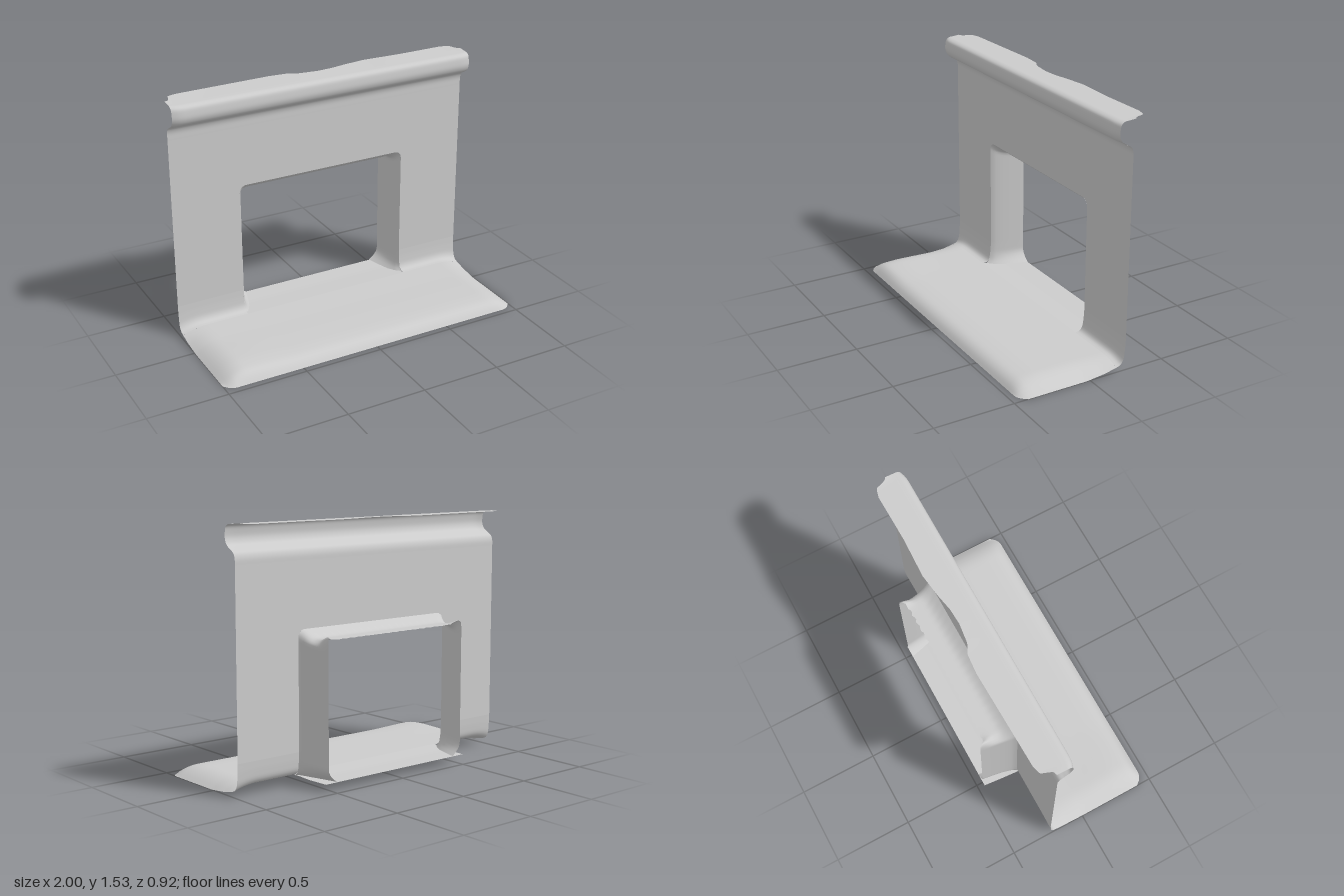
import * as THREE from 'three';
import { ParametricGeometry } from 'three/addons/geometries/ParametricGeometry.js';

const material = new THREE.MeshStandardMaterial({ color: 0xcccccc, side: THREE.DoubleSide, roughness: 0.9 });
const { lerp, clamp, smoothstep } = THREE.MathUtils;

// Opening outline: outer at the wall face, inner at the back of the reveal
const OUTER = { l: -0.562, r: 0.57, top: 0.91, rad: 0.05 };
const INNER = { l: -0.51, r: 0.53, top: 0.862, rad: 0.04 };
const FLOOR = 0.052, FILLET_TOP = 0.2;

// Piecewise linear lookup in [[x, y], ...]
function lookup(table, x) {
  for (let i = 1; i < table.length; i++) {
    const [x0, y0] = table[i - 1], [x1, y1] = table[i];
    if (x <= x1) return lerp(y0, y1, clamp((x - x0) / (x1 - x0), 0, 1));
  }
  return table[table.length - 1][1];
}

// Smooth sheet from a rule (u, v) -> [x, y, z]
function sheet(name, nu, nv, rule) {
  const geometry = new ParametricGeometry((u, v, p) => p.set(...rule(u, v)), nu, nv);
  geometry.computeVertexNormals();
  const mesh = new THREE.Mesh(geometry, material);
  mesh.name = name;
  return mesh;
}

// Smooth curve through [z, y] points
const profile = (pts) => new THREE.CatmullRomCurve3(pts.map(([z, y]) => new THREE.Vector3(0, y, z)), false, 'centripetal');

function traceOpening(path, { l, r, top, rad }, bottom) {
  path.lineTo(l, bottom);
  path.lineTo(l, top - rad);
  path.quadraticCurveTo(l, top, l + rad, top);
  path.lineTo(r - rad, top);
  path.quadraticCurveTo(r, top, r, top - rad);
  path.lineTo(r, bottom);
}

function openingPoints(o, n) {
  const path = new THREE.Path();
  path.moveTo(o.l, FLOOR);
  traceOpening(path, o, FLOOR);
  return path.getSpacedPoints(n);
}

// Depth of the wall face, swept forward at its foot
const wallZ = (y) => lookup([[0.052, -0.2], [0.065, -0.215], [0.09, -0.228], [0.14, -0.236], [FILLET_TOP, -0.24]], y);

// How far the sheet sags towards its two short ends
const endSag = (x) => Math.pow(clamp((Math.abs(x) - 0.84) / 0.16, 0, 1), 2.2);

export function createModel() {
  const group = new THREE.Group();
  group.name = 'fireplaceSurround';

  // Flat wall face with the opening notched out
  const wallShape = new THREE.Shape();
  wallShape.moveTo(-1, FILLET_TOP);
  traceOpening(wallShape, OUTER, FILLET_TOP);
  wallShape.lineTo(1, FILLET_TOP);
  wallShape.lineTo(1, 1.29);
  wallShape.lineTo(-1, 1.29);
  const wall = new THREE.Mesh(new THREE.ShapeGeometry(wallShape, 10), material);
  wall.position.z = -0.24;
  wall.name = 'wallFace';
  group.add(wall);

  // Curved feet of the wall, either side of the opening
  const foot = profile([[-0.24, FILLET_TOP], [-0.236, 0.14], [-0.228, 0.09], [-0.21, 0.066], [-0.18, 0.06]]);
  for (const [name, x0, x1] of [['rightWallFoot', -1, OUTER.l], ['leftWallFoot', OUTER.r, 1]]) {
    group.add(sheet(name, 24, 14, (u, v) => {
      const x = lerp(x0, x1, u), p = foot.getPointAt(v);
      return [x, p.y - 0.03 * endSag(x) * v, p.z];
    }));
  }

  // Hearth slab: rolled front lip, ends sagging to the ground, rounded corners
  const hearth = profile([[-0.18, 0.06], [0, 0.06], [0.2, 0.062], [0.33, 0.06], [0.4, 0.05], [0.435, 0.03], [0.46, 0]]);
  group.add(sheet('hearth', 80, 40, (u, v) => {
    const x = lerp(-1, 1, u), p = hearth.getPointAt(v), sag = endSag(x);
    const edge = lookup([[-0.18, 0.03], [-0.1, 0.013], [0.02, 0]], p.z);
    const hump = 0.008 * smoothstep(-x, 0.5, 0.85) * smoothstep(p.z, 0, 0.3) * (1 - smoothstep(p.z, 0.4, 0.46));
    const corner = 0.05 * Math.pow(clamp((Math.abs(x) - 0.93) / 0.07, 0, 1), 2) * smoothstep(p.z, 0.2, 0.46);
    return [x, lerp(p.y + hump, Math.min(edge, p.y), sag), p.z - corner];
  }));

  // Floor running back through the opening
  group.add(sheet('openingFloor', 20, 8, (u, v) =>
    [lerp(lerp(OUTER.l, -0.535, v), lerp(OUTER.r, 0.55, v), u), lerp(0.06, 0.05, Math.min(1, v * 2)), lerp(-0.18, -0.46, v)]));

  // Reveal: jambs and lintel lofted from the wall face to the back
  const N = 160;
  const outer = openingPoints(OUTER, N), inner = openingPoints(INNER, N);
  group.add(sheet('openingReveal', N, 14, (u, v) => {
    const i = Math.round(u * N), a = outer[i], b = inner[i];
    const lintel = smoothstep(b.y, 0.8, 0.86);
    const span = clamp((b.x - INNER.l) / (INNER.r - INNER.l), 0, 1);
    const nearCorner = Math.pow(Math.abs(span * 2 - 1), 24);
    const back = lerp(-0.46, -0.42 + 0.006 * Math.sin(i * 1.9), lintel * (1 - nearCorner));
    const g = lerp(Math.pow(v, 0.6), Math.sin(Math.min(1, v * 2) * Math.PI / 2), lintel);
    // small flare where the jambs meet the floor
    const flare = 0.06 * Math.pow(clamp(1 - (b.y - FLOOR) / 0.08, 0, 1), 2) * g * (span < 0.5 ? 1 : -1);
    const lift = 0.06 * lintel * nearCorner * smoothstep(v, 0.6, 1);
    return [lerp(a.x, b.x, g) + flare, lerp(a.y, b.y, g) + lift, lerp(wallZ(a.y), back, v)];
  }));

  // Mantel: cove, rounded nose and thin top with an uneven back edge
  const nose = profile([[-0.24, 1.29], [-0.238, 1.34], [-0.225, 1.368], [-0.19, 1.387], [-0.15, 1.408],
    [-0.134, 1.44], [-0.134, 1.475], [-0.143, 1.508], [-0.165, 1.52], [-0.2, 1.523]]);
  group.add(sheet('mantelNose', 80, 40, (u, v) => {
    const x = lerp(-1, 1, u), p = nose.getPointAt(v);
    const end = Math.pow(clamp((Math.abs(x) - 0.93) / 0.07, 0, 1), 2);
    return [x, p.y, p.z - 0.015 * end * smoothstep(p.z, -0.22, -0.14)];
  }));
  const backEdge = [[-1, -0.25], [-0.975, -0.26], [-0.95, -0.325], [-0.9, -0.34], [-0.5, -0.35], [-0.3, -0.355], [-0.18, -0.345],
    [-0.12, -0.315], [0, -0.3], [0.1, -0.305], [0.2, -0.325], [0.35, -0.345], [0.6, -0.335], [0.9, -0.34], [0.96, -0.325], [0.98, -0.26], [1, -0.25]];
  group.add(sheet('mantelTop', 160, 4, (u, v) => {
    const x = lerp(-1, 1, u);
    return [x, lerp(1.523, 1.527, v), lerp(-0.2, lookup(backEdge, x), v)];
  }));

  return group;
}
